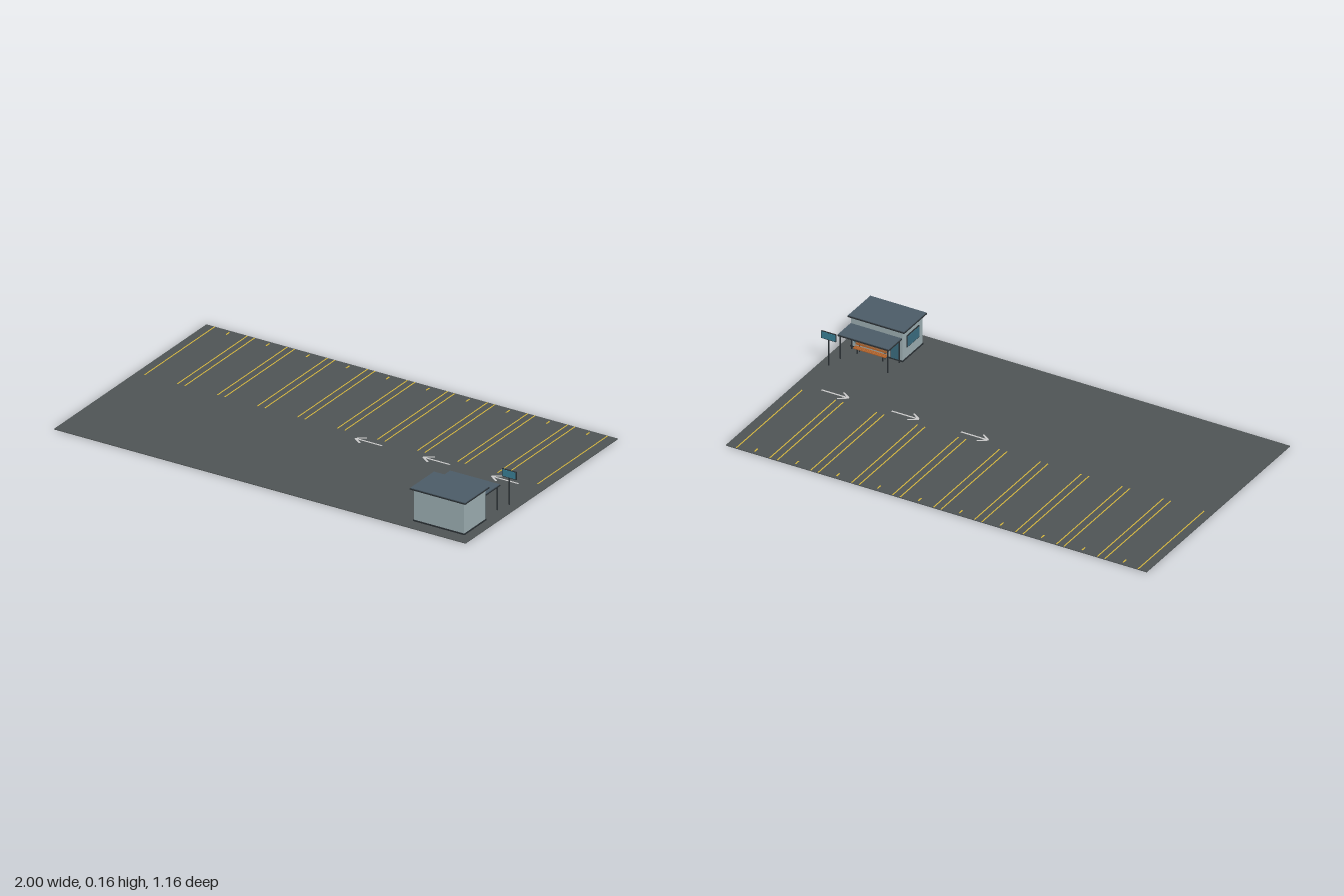
import * as THREE from 'three';

const mat = (color) => new THREE.MeshStandardMaterial({ color });
const M = {
  asphalt: mat(0x505556), yellow: mat(0xd8b83c), white: mat(0xe6e8e6),
  wall: mat(0x9fb1b5), roof: mat(0x4c5c68), trim: mat(0x2b3135),
  glass: mat(0x3c6f82), sign: mat(0x3a8299), wood: mat(0xb8682f),
};

export function createModel() {
  const root = new THREE.Group();
  let target = root;

  // Box given by its extents on each axis
  const box = (name, m, [x0, x1], [y0, y1], [z0, z1]) => {
    const mesh = new THREE.Mesh(new THREE.BoxGeometry(x1 - x0, y1 - y0, z1 - z0), m);
    mesh.position.set((x0 + x1) / 2, (y0 + y1) / 2, (z0 + z1) / 2);
    mesh.name = name;
    target.add(mesh);
    return mesh;
  };
  const post = (name, x, z, h, r = 0.003) => {
    const mesh = new THREE.Mesh(new THREE.CylinderGeometry(r, r, h, 10), M.trim);
    mesh.position.set(x, h / 2, z);
    mesh.name = name;
    target.add(mesh);
  };
  const group = (name) => {
    target = new THREE.Group();
    target.name = name;
    root.add(target);
  };

  const G = 0.003, paint = [G, G + 0.0008];
  box('pavement', M.asphalt, [-1, 1], [0, G], [-0.582, 0.582]);

  // Ten parking bays, each with two side lines and a small bay mark
  group('parkingBays');
  for (let i = 0; i < 10; i++) {
    const c = -0.879 + i * 0.1945;
    for (const s of [-1, 1]) {
      const x = c + s * 0.0795;
      box('bayLine', M.yellow, [x - 0.0025, x + 0.0025], paint, [-0.58, -0.045]);
    }
    box('bayMark', M.yellow, [c - 0.003, c + 0.003], paint, [-0.567, -0.542]);
  }

  // Direction arrows pointing to -x
  group('laneArrows');
  for (const tip of [0.09, 0.42, 0.753]) {
    const z = -0.005;
    box('arrowShaft', M.white, [tip + 0.004, tip + 0.13], paint, [z - 0.004, z + 0.004]);
    for (const s of [-1, 1]) {
      const head = box('arrowHead', M.white, [-0.024, 0.024], paint, [-0.004, 0.004]);
      head.rotation.y = -s * 0.6;
      head.position.set(tip + 0.02, G + 0.0004, z + s * 0.0135);
    }
  }

  // Kiosk with an overhanging flat roof; its door side faces -z
  group('kiosk');
  box('kioskBase', M.trim, [0.707, 0.957], [G, 0.009], [0.353, 0.523]);
  box('kioskWalls', M.wall, [0.71, 0.954], [0.005, 0.146], [0.356, 0.52]);
  box('roofEdge', M.trim, [0.695, 0.965], [0.146, 0.151], [0.345, 0.53]);
  box('roofTop', M.roof, [0.697, 0.963], [0.151, 0.154], [0.347, 0.528]);
  box('sideWindowFrame', M.trim, [0.706, 0.711], [0.056, 0.112], [0.388, 0.488]);
  box('sideWindow', M.glass, [0.704, 0.711], [0.06, 0.108], [0.392, 0.484]);
  box('doorFrame', M.trim, [0.721, 0.765], [G, 0.1], [0.354, 0.357]);
  box('door', M.glass, [0.724, 0.762], [0.009, 0.097], [0.353, 0.357]);
  box('frontWindowFrame', M.trim, [0.786, 0.934], [0.042, 0.1], [0.354, 0.357]);
  box('frontWindow', M.glass, [0.79, 0.93], [0.046, 0.096], [0.353, 0.357]);

  // Waiting shelter in front of the kiosk
  group('shelter');
  box('canopyEdge', M.trim, [0.708, 0.953], [0.112, 0.117], [0.242, 0.35]);
  box('canopyTop', M.roof, [0.71, 0.951], [0.117, 0.12], [0.244, 0.348]);
  for (const x of [0.718, 0.943]) for (const z of [0.25, 0.342]) post('canopyPost', x, z, 0.113);
  box('backPanel', M.glass, [0.775, 0.93], [0.04, 0.092], [0.338, 0.341]);

  // Slatted bench
  group('bench');
  for (let i = 0; i < 3; i++) {
    const z = 0.312 + i * 0.008;
    box('seatSlat', M.wood, [0.765, 0.92], [0.026, 0.03], [z, z + 0.006]);
  }
  for (const y of [0.036, 0.047]) box('backSlat', M.wood, [0.765, 0.92], [y, y + 0.008], [0.332, 0.335]);
  for (const x of [0.78, 0.901]) {
    box('benchLeg', M.trim, [x, x + 0.004], [G, 0.026], [0.316, 0.32]);
    box('benchUpright', M.trim, [x, x + 0.004], [G, 0.056], [0.335, 0.338]);
  }

  // Sign on a post by the lane
  group('signpost');
  post('signPole', 0.957, 0.18, 0.158);
  box('signFrame', M.trim, [0.922, 0.992], [0.124, 0.16], [0.178, 0.182]);
  box('signBoard', M.sign, [0.925, 0.989], [0.127, 0.157], [0.1765, 0.1835]);

  return root;
}
